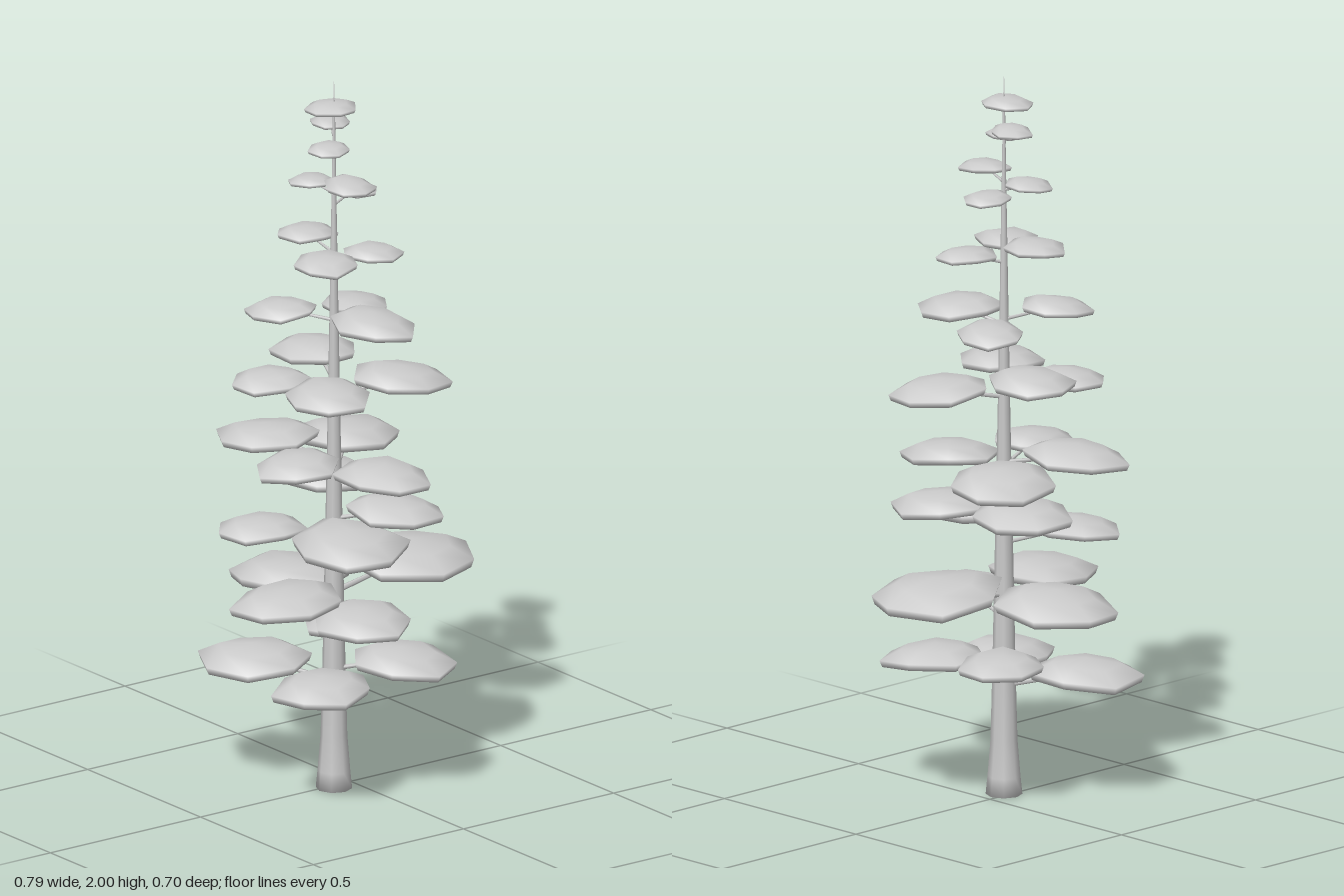
import * as THREE from 'three';
import { mergeVertices } from 'three/addons/utils/BufferGeometryUtils.js';

const TRUNK_X = -0.066, TRUNK_Z = 0.014;

// Foliage pads per tier, bottom to top: [x, y, z, radius]
const TIERS = [
  [[0.05, 0.375, 0.16, 0.13], [0.06, 0.4, -0.11, 0.115], [-0.205, 0.34, 0.15, 0.135], [-0.2, 0.345, -0.165, 0.145]],
  [[0.195, 0.6, 0.015, 0.17], [-0.255, 0.572, 0.06, 0.14], [-0.11, 0.525, 0.2, 0.13], [-0.08, 0.555, -0.175, 0.155]],
  [[-0.15, 0.745, 0.19, 0.155], [0.04, 0.795, 0.155, 0.125], [0.035, 0.82, -0.15, 0.135], [-0.22, 0.73, -0.1, 0.11]],
  [[-0.03, 0.915, 0.19, 0.12], [0.1, 0.922, -0.14, 0.14], [-0.215, 0.942, 0.05, 0.112], [-0.15, 0.955, -0.18, 0.125]],
  [[-0.18, 1.155, 0.14, 0.115], [-0.2, 1.145, -0.09, 0.1], [-0.01, 1.18, -0.14, 0.115], [0.11, 1.135, 0.085, 0.12]],
  [[-0.175, 1.342, -0.075, 0.09], [-0.03, 1.33, 0.14, 0.115], [0.065, 1.312, -0.07, 0.09]],
  [[-0.07, 1.528, -0.1, 0.078], [-0.145, 1.505, 0.085, 0.085], [0.03, 1.495, 0.06, 0.075]],
  [[-0.08, 1.713, 0.1, 0.066], [-0.09, 1.69, -0.055, 0.058], [0.015, 1.66, 0, 0.062]],
  [[-0.108, 1.81, 0.05, 0.056], [-0.034, 1.848, -0.045, 0.056], [-0.07, 1.908, 0.01, 0.066]],
];

// Small seeded number generator
function seeded(seed) {
  let s = seed * 7919 + 17;
  return () => (s = (s * 16807) % 2147483647) / 2147483647;
}

const material = new THREE.MeshStandardMaterial({ color: 0xcccccc });

function named(name, geometry) {
  const mesh = new THREE.Mesh(geometry, material);
  mesh.name = name;
  return mesh;
}

function smooth(geometry) {
  geometry.deleteAttribute('uv');
  geometry.deleteAttribute('normal');
  const merged = mergeVertices(geometry, 1e-5);
  merged.computeVertexNormals();
  return merged;
}

// Flattened, uneven seven-sided cushion; its long axis is local x, pointing outward
function padGeometry(r, seed) {
  const rand = seeded(seed);
  const sides = 7;
  const profile = [[0, -0.2], [0.55, -0.2], [0.95, -0.12], [1, 0.02], [0.62, 0.21], [0, 0.28]]
    .map(([px, py]) => new THREE.Vector2(px * r, py * r));
  const geometry = new THREE.LatheGeometry(profile, sides, rand());
  const wobble = Array.from({ length: sides }, () => [0.93 + rand() * 0.17, (rand() - 0.5) * 0.12]);
  const pos = geometry.attributes.position;
  for (let i = 0; i < pos.count; i++) {
    const [grow, lift] = wobble[Math.floor(i / profile.length) % sides];
    const x = pos.getX(i) * grow * 1.1, z = pos.getZ(i) * grow;
    const out = Math.hypot(x, z) / r;
    pos.setXYZ(i, x, pos.getY(i) + lift * r * out - 0.06 * x, z);
  }
  return smooth(geometry);
}

// Thin tapered rod between two points
function rod(from, to, r0, r1) {
  const dir = to.clone().sub(from);
  const geometry = new THREE.CylinderGeometry(r1, r0, dir.length(), 5);
  const mesh = named('branch', geometry);
  mesh.position.copy(from).add(to).multiplyScalar(0.5);
  mesh.quaternion.setFromUnitVectors(new THREE.Vector3(0, 1, 0), dir.normalize());
  return mesh;
}

export function createModel() {
  const tree = new THREE.Group();
  tree.name = 'tree';

  // Trunk with flared foot and needle-thin tip
  const outline = [[0, 0], [0.049, 0], [0.044, 0.05], [0.036, 0.15], [0.031, 0.35], [0.024, 0.7], [0.017, 1.05],
    [0.011, 1.4], [0.006, 1.7], [0.003, 1.9], [0, 2]].map(([r, y]) => new THREE.Vector2(r, y));
  const trunk = named('trunk', smooth(new THREE.LatheGeometry(outline, 8)));
  trunk.position.set(TRUNK_X, 0, TRUNK_Z);
  tree.add(trunk);

  // Tiers of branches, each carrying a foliage pad
  TIERS.forEach((pads, t) => {
    const tier = new THREE.Group();
    tier.name = `foliageTier${t + 1}`;
    pads.forEach(([x, y, z, r], i) => {
      const pad = named('foliagePad', padGeometry(r, t * 11 + i * 3 + 1));
      pad.position.set(x, y, z);
      pad.rotation.y = -Math.atan2(z - TRUNK_Z, x - TRUNK_X);
      const root = new THREE.Vector3(TRUNK_X, y - 0.25 * r - 0.008, TRUNK_Z);
      const thick = 0.002 + r * 0.04;
      tier.add(pad, rod(root, new THREE.Vector3(x, y, z), thick, thick * 0.5));
    });
    tree.add(tier);
  });
  return tree;
}
